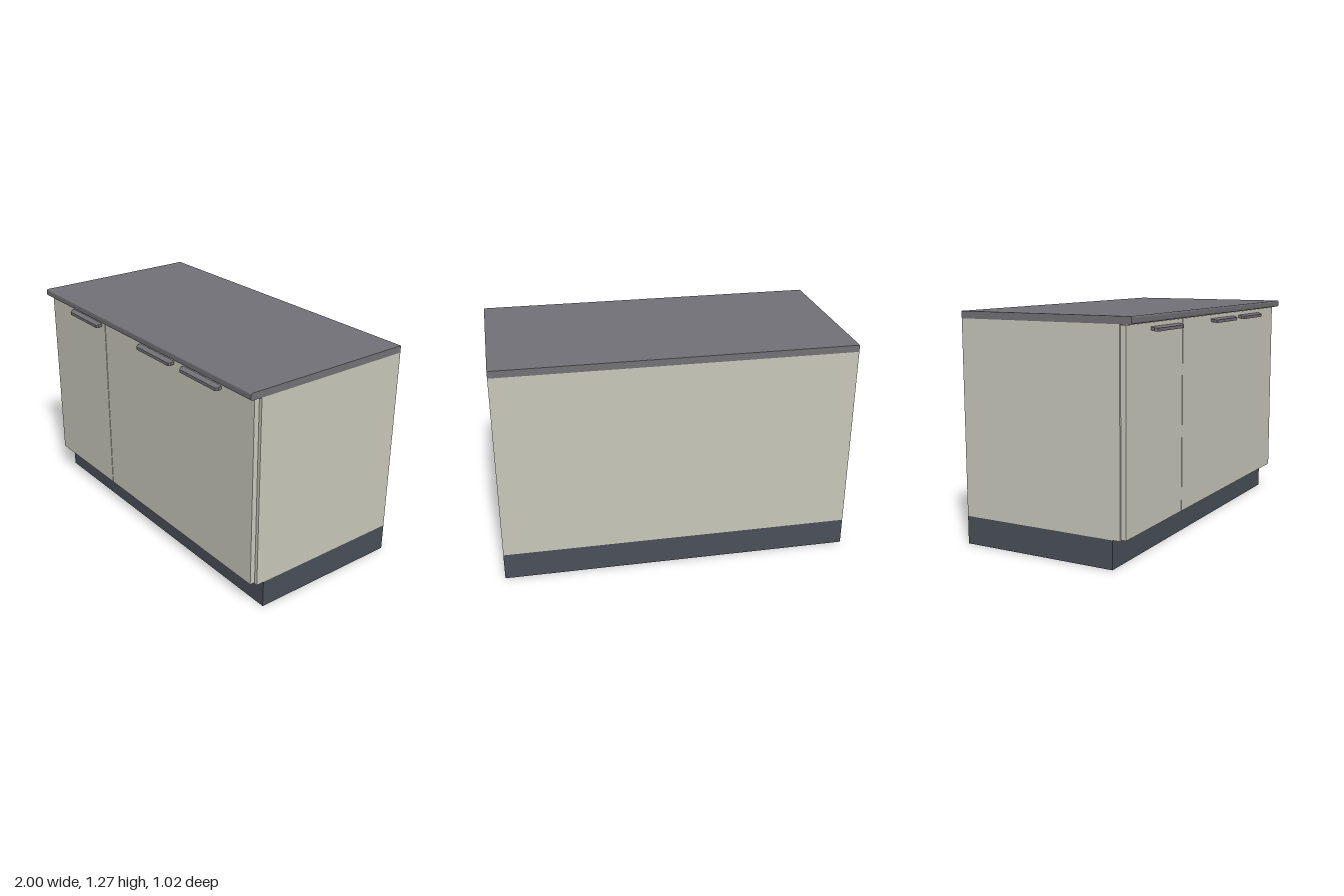
import * as THREE from 'three';

const mat = (name, color, side = THREE.FrontSide) => {
  const m = new THREE.MeshStandardMaterial({ color, side });
  m.name = name;
  return m;
};

export function createModel() {
  const group = new THREE.Group();
  group.name = 'baseCabinet';
  const cream = mat('cream', 0xc9c8bb);
  const grey = mat('worktopGrey', 0x727177);
  const slate = mat('plinthSlate', 0x4a4f58, THREE.DoubleSide);

  const add = (name, geometry, material) => {
    const mesh = new THREE.Mesh(geometry, material);
    mesh.name = name;
    group.add(mesh);
    return mesh;
  };
  // box given by its lower and upper corners
  const box = (name, [x0, y0, z0], [x1, y1, z1], material) => {
    const mesh = add(name, new THREE.BoxGeometry(x1 - x0, y1 - y0, z1 - z0), material);
    mesh.position.set((x0 + x1) / 2, (y0 + y1) / 2, (z0 + z1) / 2);
  };

  // plinth: four thin walls, open below
  const h = 0.155, back = -0.51, front = 0.4;
  const wall = (name, width, x, z, turn) => {
    const mesh = add(name, new THREE.PlaneGeometry(width, h), slate);
    mesh.position.set(x, h / 2, z);
    mesh.rotation.y = turn;
  };
  wall('plinthFront', 2, 0, front, 0);
  wall('plinthBack', 2, 0, back, Math.PI);
  for (const s of [-1, 1]) wall('plinthSide', front - back, s, (front + back) / 2, s * Math.PI / 2);

  // carcass and doors
  box('carcass', [-1, h, back], [1, 1.228, 0.445], cream);
  box('leftHandDoor', [-0.99, 0.16, 0.445], [-0.373, 1.223, 0.474], cream);
  box('wideDoor', [-0.368, 0.16, 0.445], [0.981, 1.223, 0.474], cream);

  // worktop: side profile with a rounded front edge, drawn as (-z, y)
  const y0 = 1.228, y1 = 1.267, f = -0.512, r = 0.01;
  const top = new THREE.Shape();
  top.moveTo(-back, y0);
  top.lineTo(-back, y1);
  top.lineTo(f + r, y1);
  top.quadraticCurveTo(f, y1, f, y1 - r);
  top.lineTo(f, y0 + r);
  top.quadraticCurveTo(f, y0, f + r, y0);
  const topGeometry = new THREE.ExtrudeGeometry(top, { depth: 2, bevelEnabled: false, curveSegments: 4 });
  topGeometry.rotateY(Math.PI / 2).translate(-1, 0, 0);
  add('worktop', topGeometry, grey);

  // handles: slabs with clipped front corners, sloping down to the front
  const w = 0.162, c = 0.012, reach = 0.032, thick = 0.017;
  const plan = new THREE.Shape([
    [-w, 0], [w, 0], [w, -reach + c], [w - c, -reach], [-w + c, -reach], [-w, -reach + c],
  ].map(([x, y]) => new THREE.Vector2(x, y)));
  const handle = new THREE.ExtrudeGeometry(plan, { depth: thick, bevelEnabled: false });
  handle.rotateX(-Math.PI / 2);
  const p = handle.attributes.position;
  for (let i = 0; i < p.count; i++) p.setY(i, p.getY(i) - 0.25 * p.getZ(i));
  handle.computeVertexNormals();
  for (const x of [-0.57, 0.16, 0.565]) add('handle', handle, grey).position.set(x, 1.184, 0.473);

  return group;
}
